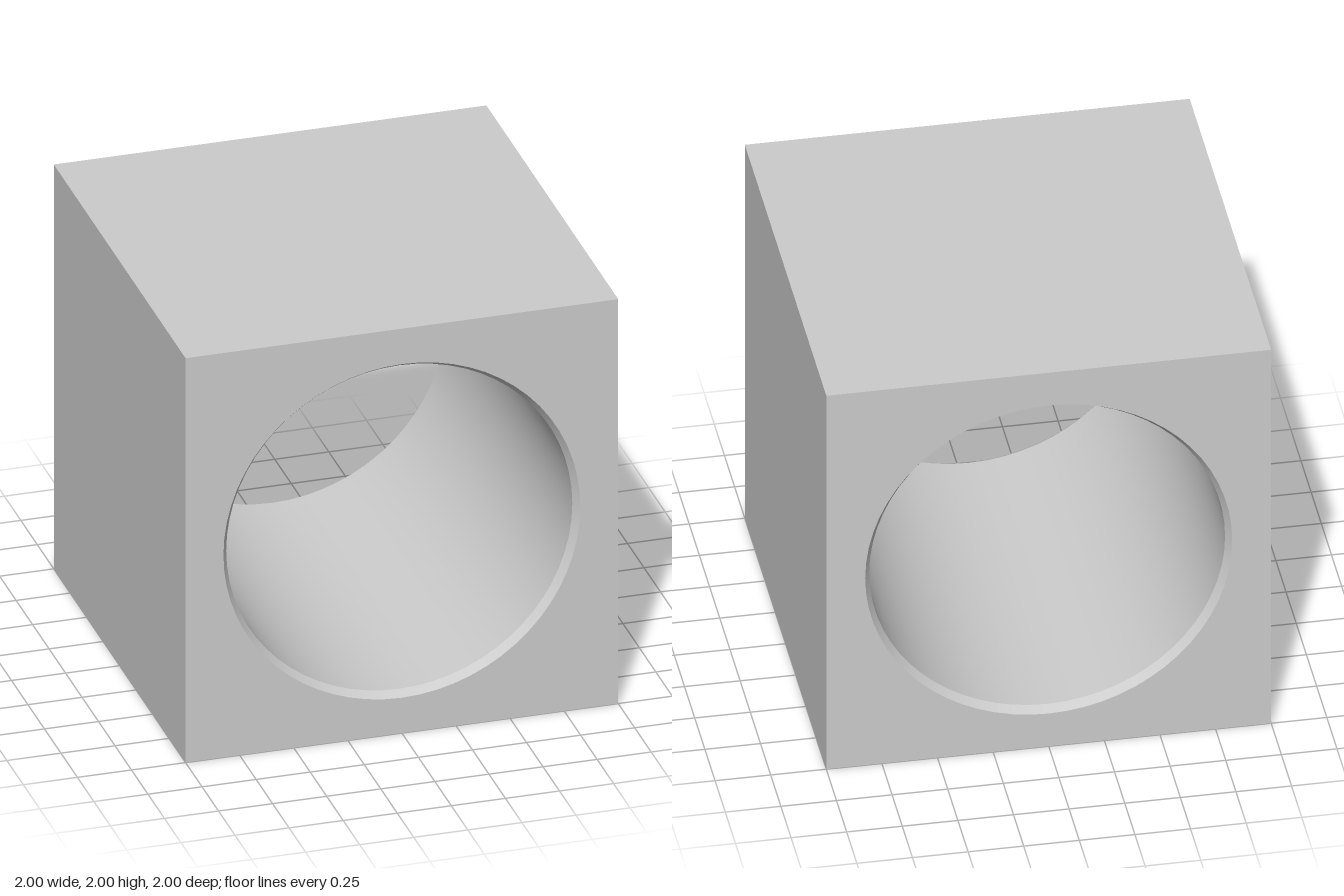
import * as THREE from 'three';

const HALF = 1;         // half the cube's edge
const BORE = 0.8;       // radius of the through hole
const MOUTH = 0.825;    // radius of the hole at the faces
const CHAMFER = 0.04;   // depth of the chamfer
const SEGMENTS = 64;

export function createModel() {
  const model = new THREE.Group();
  const material = new THREE.MeshStandardMaterial({ color: 0xcccccc });

  const add = (name, geometry) => {
    const mesh = new THREE.Mesh(geometry, material);
    mesh.name = name;
    mesh.position.y = HALF;
    model.add(mesh);
    return mesh;
  };

  // Front and back faces, each with a round opening
  const face = new THREE.Shape([
    new THREE.Vector2(-HALF, -HALF), new THREE.Vector2(HALF, -HALF),
    new THREE.Vector2(HALF, HALF), new THREE.Vector2(-HALF, HALF),
  ]);
  face.holes.push(new THREE.Path().absarc(0, 0, MOUTH, 0, Math.PI * 2, true));
  const faceGeometry = new THREE.ShapeGeometry(face, SEGMENTS / 2).translate(0, 0, HALF);
  add('frontFace', faceGeometry);
  add('backFace', faceGeometry).rotation.y = Math.PI;

  // Four plain outer walls, turned around the z axis
  const wallGeometry = new THREE.PlaneGeometry(2 * HALF, 2 * HALF)
    .rotateX(-Math.PI / 2).translate(0, HALF, 0);
  ['topWall', 'leftWall', 'bottomWall', 'rightWall'].forEach((name, i) => {
    add(name, wallGeometry).rotation.z = -i * Math.PI / 2;
  });

  // Inward-facing ring from the front to the back, about the z axis
  const ring = (rFront, zFront, rBack, zBack) => new THREE.LatheGeometry(
    [new THREE.Vector2(rFront, zFront), new THREE.Vector2(rBack, zBack)], SEGMENTS,
  ).rotateX(Math.PI / 2);

  // Smooth bore with a small chamfer at each end
  const inner = HALF - CHAMFER;
  add('frontChamfer', ring(MOUTH, HALF, BORE, inner));
  add('bore', ring(BORE, inner, BORE, -inner));
  add('backChamfer', ring(BORE, -inner, MOUTH, -HALF));

  return model;
}
